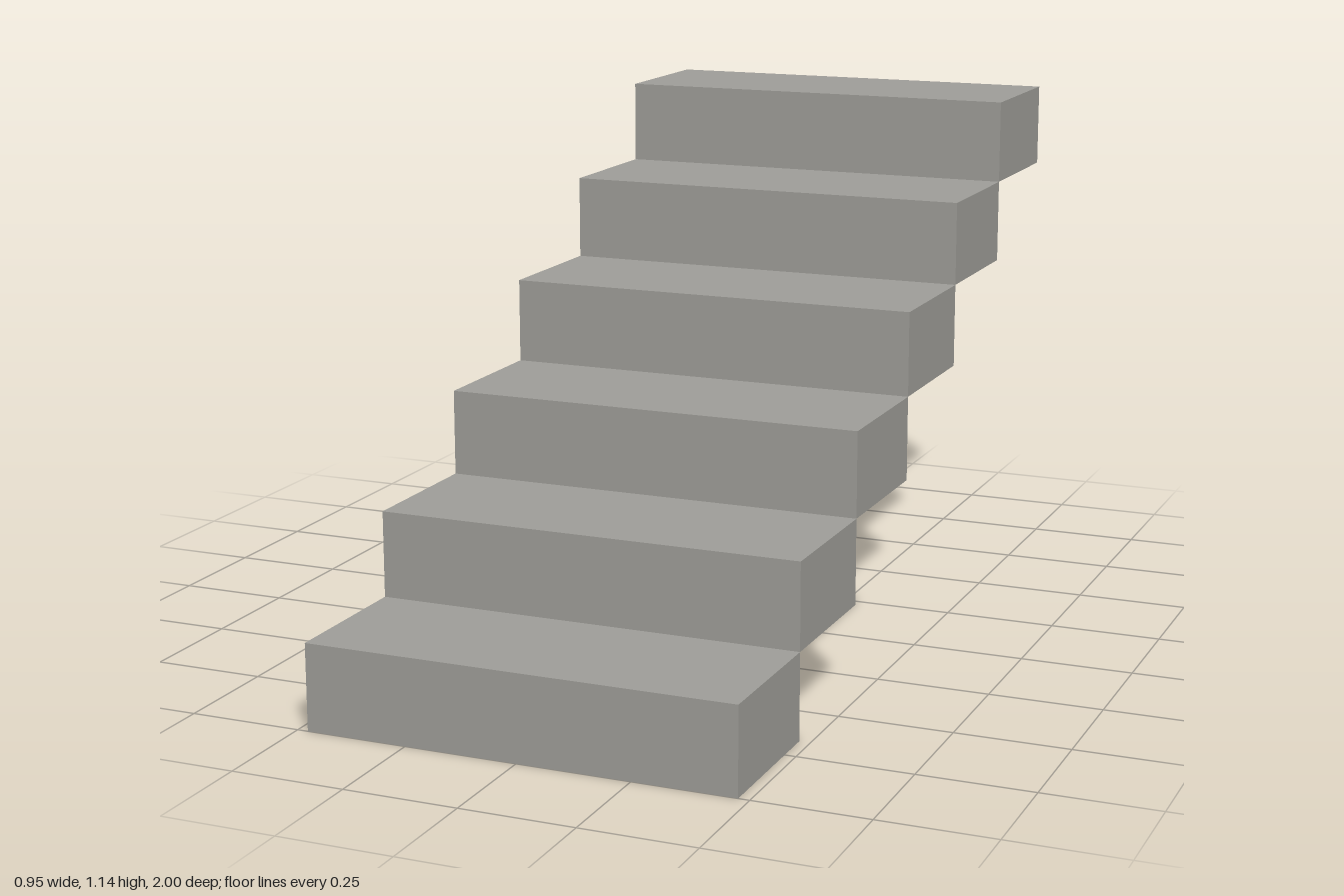
import * as THREE from 'three';

const STEPS = 6;
const WIDTH = 0.952;
const RISE = 0.1905;
const RUN = 2 / STEPS;

export function createModel() {
  const group = new THREE.Group();
  group.name = 'staircase';

  const stone = new THREE.MeshStandardMaterial({ color: 0xa09f9a });
  stone.name = 'stone grey';

  // Solid steps climbing from the front to the back, touching along their edges
  const stepGeometry = new THREE.BoxGeometry(WIDTH, RISE, RUN);
  for (let i = 0; i < STEPS; i++) {
    const step = new THREE.Mesh(stepGeometry, stone);
    step.name = `step${i + 1}`;
    step.position.set(0, (i + 0.5) * RISE, 1 - (i + 0.5) * RUN);
    group.add(step);
  }
  return group;
}
